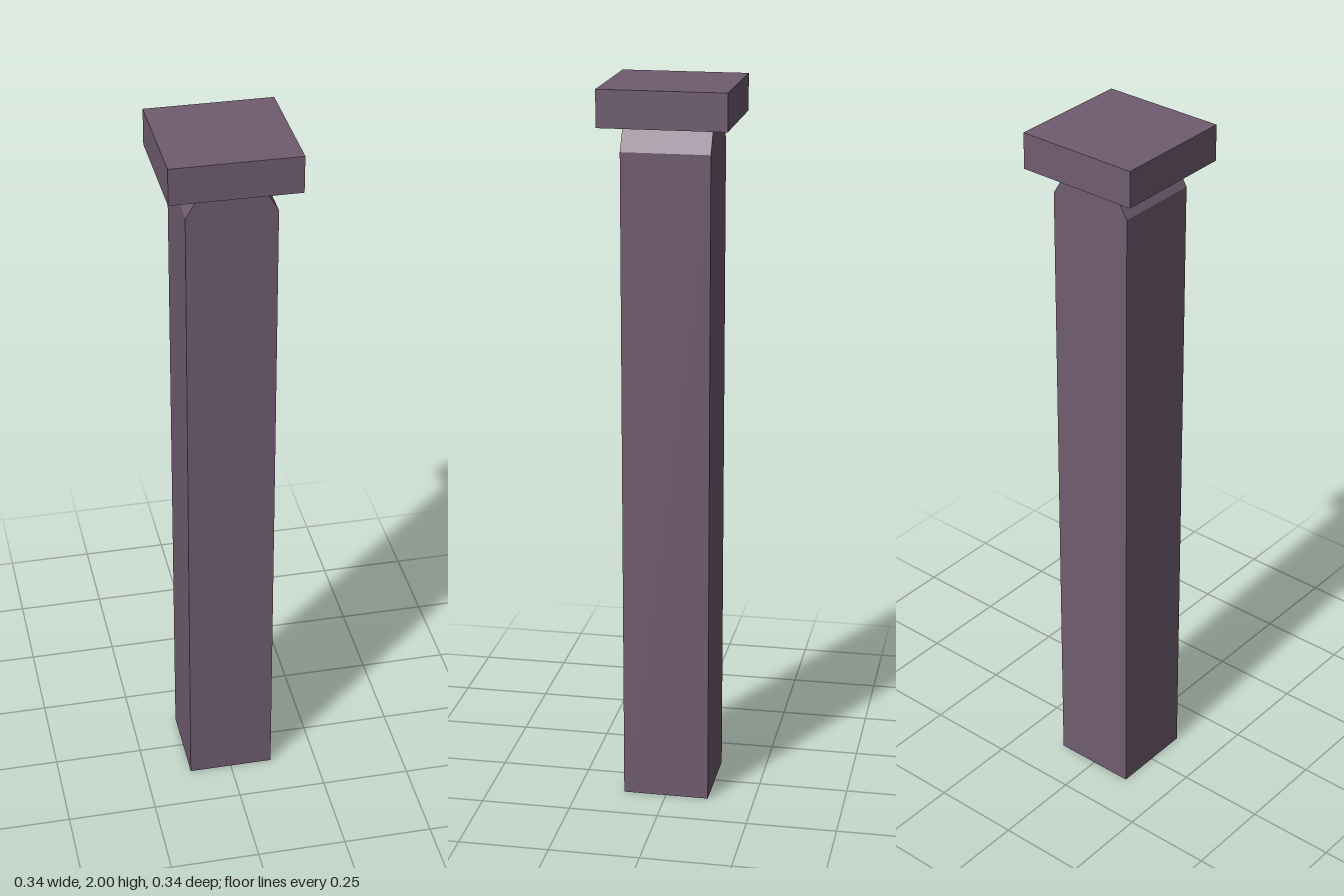
import * as THREE from 'three';

export function createModel() {
  const group = new THREE.Group();
  const paint = new THREE.MeshStandardMaterial({ color: 0x705c70 });
  paint.name = 'dusky purple';

  // Square shaft, its top chamfered on the left and right sides only
  const half = 0.12, neck = 0.078, shoulderY = 1.83, capY = 1.9;
  const profile = new THREE.Shape([
    new THREE.Vector2(-half, 0),
    new THREE.Vector2(half, 0),
    new THREE.Vector2(half, shoulderY),
    new THREE.Vector2(neck, capY),
    new THREE.Vector2(-neck, capY),
    new THREE.Vector2(-half, shoulderY),
  ]);
  const shaftGeometry = new THREE.ExtrudeGeometry(profile, { depth: 2 * half, bevelEnabled: false });
  shaftGeometry.translate(0, 0, -half);
  const shaft = new THREE.Mesh(shaftGeometry, paint);
  shaft.name = 'shaft';

  // Square cap slab
  const cap = new THREE.Mesh(new THREE.BoxGeometry(0.344, 2 - capY, 0.344), paint);
  cap.position.y = (2 + capY) / 2;
  cap.name = 'cap';

  group.add(shaft, cap);
  group.name = 'post';
  return group;
}
